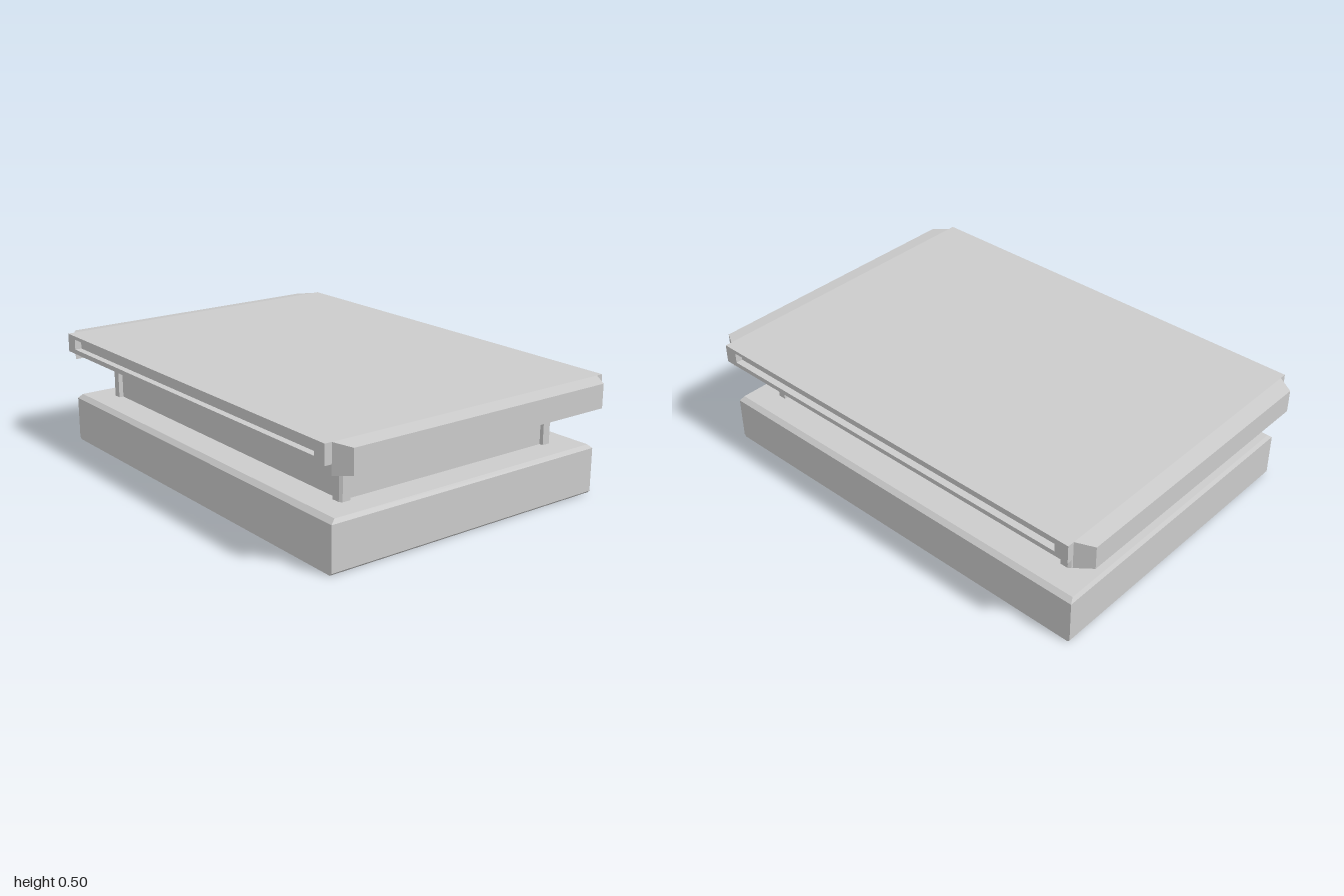
import * as THREE from 'three';
import { ConvexGeometry } from 'three/addons/geometries/ConvexGeometry.js';

export function createModel() {
  const group = new THREE.Group();
  const material = new THREE.MeshStandardMaterial({ color: 0xcccccc, flatShading: true });

  const add = (name, geometry, x = 0, y = 0, z = 0) => {
    const mesh = new THREE.Mesh(geometry, material);
    mesh.name = name;
    mesh.position.set(x, y, z);
    group.add(mesh);
    return mesh;
  };
  const extrude = (shape, depth) =>
    new THREE.ExtrudeGeometry(shape, { depth, bevelEnabled: false });
  const polygon = (pts) => new THREE.Shape(pts.map(([x, y]) => new THREE.Vector2(x, y)));

  // Base block with bevelled top rim: rings of [y, half width, half depth]
  const basePoints = [];
  for (const [y, w, d] of [[0, 0.66, 0.92], [0.01, 0.66, 0.93], [0.193, 0.66, 0.93], [0.21, 0.64, 0.92]])
    for (const sx of [-1, 1]) for (const sz of [-1, 1])
      basePoints.push(new THREE.Vector3(sx * w, y, sz * d));
  add('base', new ConvexGeometry(basePoints));

  // Recessed core between base and lid
  add('core', new THREE.BoxGeometry(1.03, 0.21, 1.605), 0, 0.313, 0);

  // Corner posts with a chamfered outer edge
  for (const sx of [-1, 1]) for (const sz of [-1, 1]) {
    const outline = [[0.49, 0.775], [0.535, 0.775], [0.535, 0.81], [0.525, 0.82], [0.49, 0.82]];
    const post = extrude(polygon(outline.map(([x, z]) => [sx * x, -sz * z])), 0.21);
    post.rotateX(-Math.PI / 2);
    add('cornerPost', post, 0, 0.208, 0);
  }

  // Lid slab
  add('lid', new THREE.BoxGeometry(1.32, 0.08, 1.86), 0, 0.455, 0);

  // Side rails, each with a long slot
  const rail = polygon([[-0.93, 0.415], [0.93, 0.415], [0.93, 0.495], [-0.93, 0.495]]);
  rail.holes.push(polygon([[-0.87, 0.435], [-0.87, 0.48], [0.87, 0.48], [0.87, 0.435]]));
  for (const sx of [-1, 1]) {
    const geometry = extrude(rail, 0.03);
    geometry.rotateY(sx * Math.PI / 2);
    add('sideRail', geometry, sx * 0.66, 0, 0);
  }

  // End caps hanging below the lid, tapered outwards
  for (const sz of [-1, 1]) {
    const points = [];
    for (const [w, y, z] of [[0.66, 0.373, 0.93], [0.66, 0.495, 0.93], [0.62, 0.385, 1], [0.62, 0.485, 1]])
      for (const sx of [-1, 1]) points.push(new THREE.Vector3(sx * w, y, sz * z));
    add('endCap', new ConvexGeometry(points));
  }

  return group;
}
